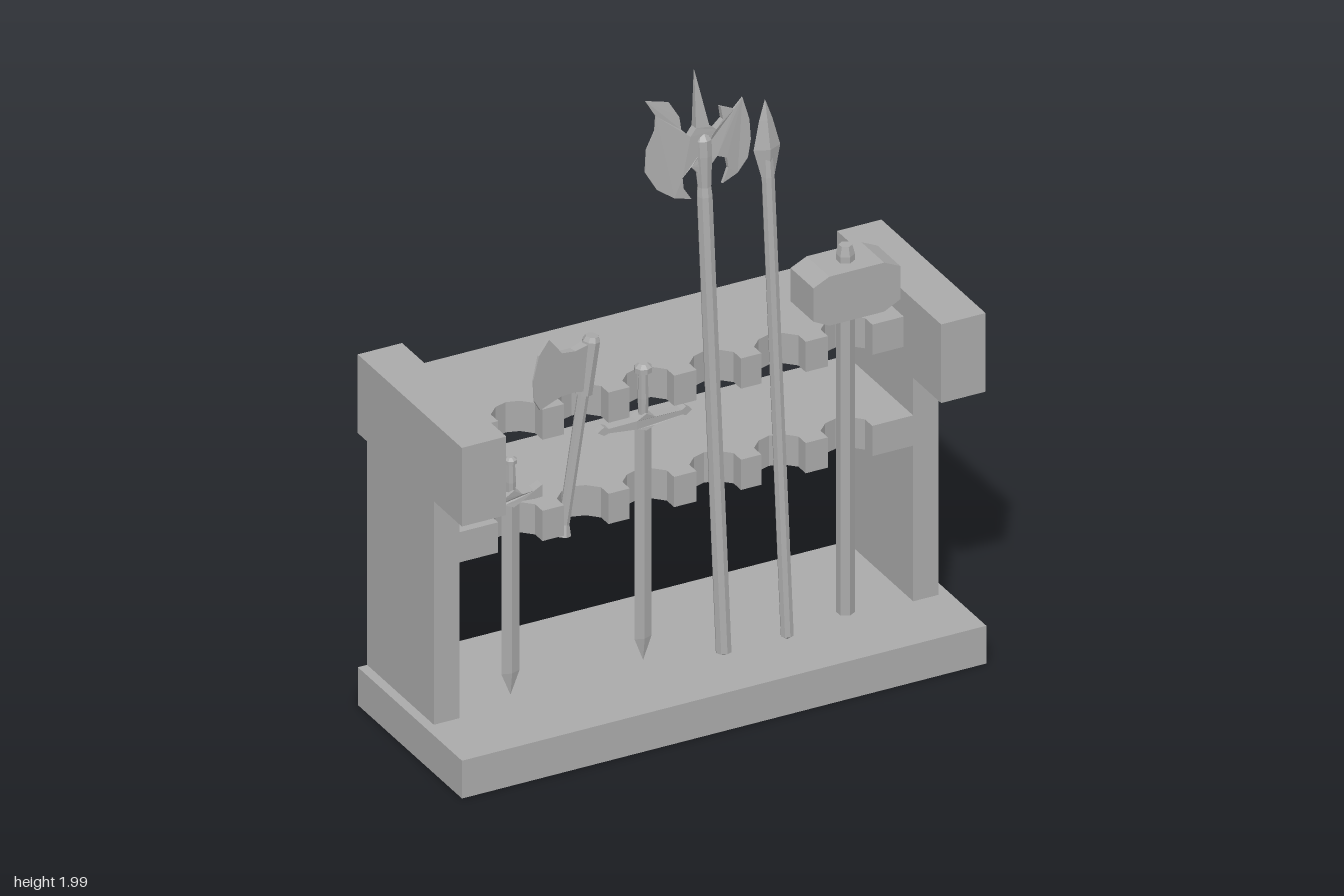
import * as THREE from 'three';

const grey = new THREE.MeshStandardMaterial({ color: 0xaaaaaa, flatShading: true, side: THREE.DoubleSide });
grey.name = 'grey';

function add(parent, name, geometry, x = 0, y = 0, z = 0) {
  const mesh = new THREE.Mesh(geometry, grey);
  mesh.name = name;
  mesh.position.set(x, y, z);
  parent.add(mesh);
  return mesh;
}

function addGroup(parent, name, x = 0, y = 0, z = 0) {
  const group = new THREE.Group();
  group.name = name;
  group.position.set(x, y, z);
  parent.add(group);
  return group;
}

const toShape = (pts) => new THREE.Shape(pts.map(([x, y]) => new THREE.Vector2(x, y)));

// The rack has no back or underside: drop triangles lying on those planes
function openBack(geometry) {
  const geo = geometry.index ? geometry.toNonIndexed() : geometry;
  const p = geo.attributes.position;
  const kept = [];
  for (let i = 0; i < p.count; i += 3) {
    const corners = [i, i + 1, i + 2];
    const back = corners.every((k) => p.getZ(k) < -0.319);
    const bottom = corners.every((k) => p.getY(k) < 0.01);
    if (!back && !bottom) corners.forEach((k) => kept.push(p.getX(k), p.getY(k), p.getZ(k)));
  }
  const out = new THREE.BufferGeometry();
  out.setAttribute('position', new THREE.Float32BufferAttribute(kept, 3));
  out.computeVertexNormals();
  return out;
}

// Box given by its limits, open at the back
function rackBox(x0, x1, y0, y1, z0, z1) {
  const geo = new THREE.BoxGeometry(x1 - x0, y1 - y0, z1 - z0);
  geo.translate((x0 + x1) / 2, (y0 + y1) / 2, (z0 + z1) / 2);
  return openBack(geo);
}

// Faceted turned part, profile from bottom to top as [radius, y]
function turned(profile, sides, flatten = 1) {
  const geo = new THREE.LatheGeometry(profile.map(([r, y]) => new THREE.Vector2(r, y)), sides);
  return geo.scale(1, 1, flatten);
}

// Plate centred on z = 0, its half thickness given by a rule
function plate(pts, halfThickness) {
  const geo = new THREE.ExtrudeGeometry(toShape(pts), { depth: 2, bevelEnabled: false });
  geo.translate(0, 0, -1);
  const p = geo.attributes.position;
  for (let i = 0; i < p.count; i++) p.setZ(i, p.getZ(i) * halfThickness(p.getX(i), p.getY(i)));
  geo.computeVertexNormals();
  return geo;
}

// Shelf with a row of notches along its front edge
function shelf(y, height) {
  const pts = [[0.745, 0.32], [-0.755, 0.32], [-0.755, -0.09]];
  for (const c of [-0.55, -0.333, -0.117, 0.103, 0.316, 0.535]) {
    pts.push([c - 0.073, -0.09], [c - 0.073, -0.045], [c - 0.04, -0.012], [c, 0.0],
      [c + 0.04, -0.012], [c + 0.073, -0.045], [c + 0.073, -0.09]);
  }
  pts.push([0.745, -0.09]);
  const geo = new THREE.ExtrudeGeometry(toShape(pts), { depth: height, bevelEnabled: false });
  geo.rotateX(-Math.PI / 2).translate(0, y, 0);
  return openBack(geo);
}

function sword(parent, name, x, z, bladeTop, halfWidth, guardPts, gripTop, pommelRadius) {
  const g = addGroup(parent, name, x, 0, z);
  add(g, 'blade', turned([[0, 0.125], [halfWidth, 0.2], [halfWidth, bladeTop], [0, bladeTop]], 4, 0.35));
  add(g, 'guard', plate(guardPts, (px) => 0.022 - 0.07 * Math.abs(px)));
  add(g, 'grip', turned([[0.014, bladeTop], [0.017, (bladeTop + gripTop) / 2], [0.014, gripTop]], 8));
  const r = pommelRadius;
  add(g, 'pommel', turned([[0, 0], [r, r * 0.4], [r, r], [r * 0.5, r * 1.4], [0, r * 1.4]], 8), 0, gripTop - 0.005, 0);
}

export function createModel() {
  const model = new THREE.Group();
  model.name = 'weaponRack';

  // Rack
  const rack = addGroup(model, 'rack');
  add(rack, 'base', rackBox(-0.865, 0.86, 0, 0.125, -0.32, 0.32));
  for (const [side, mid] of [['right', -0.0025 - 0.79], ['left', -0.0025 + 0.787]]) {
    add(rack, side + 'Post', rackBox(mid - 0.042, mid + 0.042, 0, 1.1, -0.32, 0.09));
    add(rack, side + 'Cap', rackBox(mid - 0.073, mid + 0.073, 0.9, 1.16, -0.32, 0.32));
  }
  add(rack, 'lowerShelf', shelf(0.64, 0.1));
  add(rack, 'upperShelf', shelf(0.975, 0.1));

  // Swords
  sword(model, 'shortSword', -0.553, 0.035, 0.775, 0.03, [
    [-0.097, 0.763], [-0.07, 0.763], [-0.03, 0.768], [0, 0.755], [0.03, 0.768], [0.07, 0.763], [0.097, 0.763],
    [0.097, 0.803], [0.07, 0.79], [0.03, 0.79], [0, 0.81], [-0.03, 0.79], [-0.07, 0.79], [-0.097, 0.803],
  ], 0.89, 0.02);
  sword(model, 'longSword', -0.115, 0.032, 0.915, 0.028, [
    [-0.155, 0.92], [-0.135, 0.907], [-0.12, 0.912], [-0.03, 0.905], [0, 0.895], [0.03, 0.905], [0.12, 0.912], [0.135, 0.907],
    [0.155, 0.92], [0.135, 0.935], [0.12, 0.927], [0.03, 0.932], [0, 0.95], [-0.03, 0.932], [-0.12, 0.927], [-0.135, 0.935],
  ], 1.075, 0.027);

  // Axe, leaning sideways with its blade turned forward
  const axe = addGroup(model, 'axe');
  const handle = addGroup(axe, 'axeHandle', -0.385, 0.615, 0.04);
  handle.rotation.z = -0.153;
  add(handle, 'shaft', turned([[0, 0], [0.027, 0], [0.017, 0.035], [0.018, 0.47], [0.018, 0.63]], 8));
  add(handle, 'socket', turned([[0.018, 0.455], [0.027, 0.455], [0.027, 0.625], [0.02, 0.64], [0, 0.64]], 8));
  const axeBlade = add(axe, 'axeBlade', plate([
    [-0.01, 1.233], [-0.08, 1.225], [-0.13, 1.235], [-0.178, 1.296], [-0.215, 1.254], [-0.236, 1.18],
    [-0.232, 1.11], [-0.21, 1.074], [-0.135, 1.093], [-0.08, 1.09], [-0.03, 1.075],
  ], (x) => 0.002 + 0.016 * (1 + x / 0.236)), -0.28, 0, 0.035);
  axeBlade.rotation.y = 0.24;

  // Halberd, leaning back
  const halberd = addGroup(model, 'halberd', 0.105, 0.125, 0.117);
  halberd.rotation.x = -0.08;
  add(halberd, 'shaft', turned([[0, 0], [0.024, 0.012], [0.024, 1.47], [0.021, 1.5], [0.028, 1.6], [0.028, 1.65], [0, 1.69]], 8));
  add(halberd, 'halberdBlade', plate([
    [-0.181, 1.815], [-0.15, 1.76], [-0.155, 1.715], [-0.185, 1.66], [-0.192, 1.59], [-0.155, 1.525], [-0.1, 1.485],
    [-0.045, 1.47], [-0.07, 1.51], [-0.073, 1.545], [-0.045, 1.575], [-0.012, 1.535], [0.012, 1.56], [0.04, 1.59],
    [0.073, 1.575], [0.078, 1.54], [0.057, 1.495], [0.11, 1.515], [0.145, 1.555], [0.157, 1.61], [0.155, 1.675],
    [0.135, 1.75], [0.105, 1.72], [0.06, 1.74], [0.065, 1.7], [0.04, 1.675], [0.018, 1.69], [-0.018, 1.875],
    [-0.026, 1.695], [-0.045, 1.672], [-0.072, 1.7], [-0.075, 1.74], [-0.105, 1.793],
  ], (x, y) => Math.max(0.002, 0.02 - 0.13 * Math.hypot(x, (y - 1.64) * 0.7))));

  // Spear, leaning back
  const spear = addGroup(model, 'spear', 0.314, 0.125, 0.117);
  spear.rotation.x = -0.08;
  add(spear, 'shaft', turned([[0, 0], [0.02, 0.012], [0.02, 1.48], [0.016, 1.56]], 8));
  add(spear, 'spearHead', turned([[0.02, 1.46], [0.022, 1.48], [0.044, 1.57], [0.022, 1.66], [0, 1.725]], 4, 0.5));

  // War hammer
  const hammer = addGroup(model, 'warHammer', 0.54, 0, 0.052);
  add(hammer, 'shaft', turned([[0.028, 0.125], [0.028, 1.31], [0.02, 1.34], [0, 1.34]], 6));
  add(hammer, 'hammerHead', plate([
    [-0.143, 1.155], [-0.09, 1.128], [0.09, 1.128], [0.143, 1.155],
    [0.143, 1.265], [0.09, 1.29], [-0.09, 1.29], [-0.143, 1.265],
  ], () => 0.07));

  return model;
}
